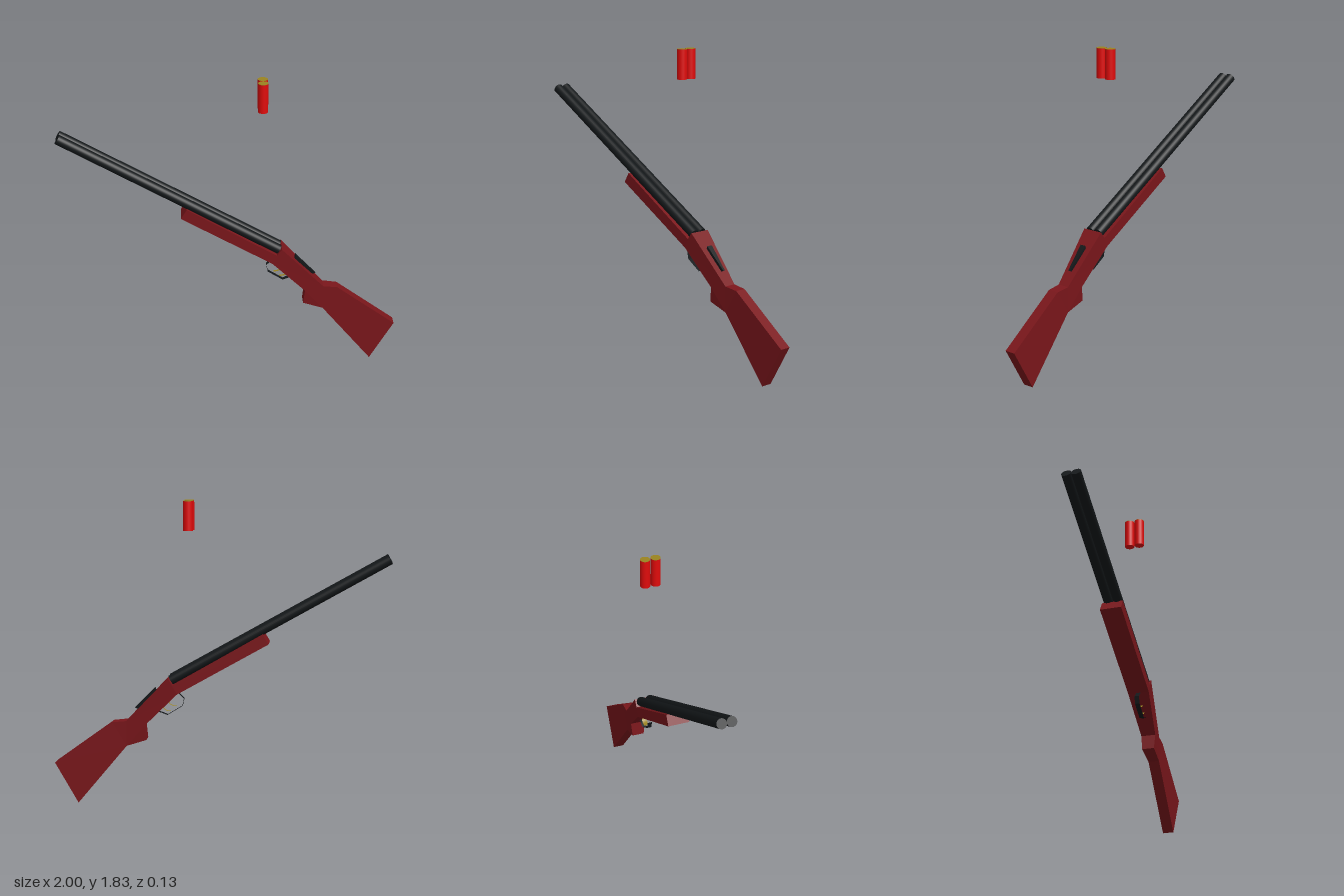
import * as THREE from 'three';

const mat = (color, extra = {}) => new THREE.MeshStandardMaterial({ color, ...extra });

// Prism from a side profile of [x, y, halfWidth] corners, so its thickness can taper
function taperedSlab(corners) {
  const shape = new THREE.Shape(corners.map(([x, y]) => new THREE.Vector2(x, y)));
  const geo = new THREE.ExtrudeGeometry(shape, { depth: 1, bevelEnabled: false });
  const pos = geo.attributes.position;
  for (let i = 0; i < pos.count; i++) {
    const dist = (c) => Math.hypot(c[0] - pos.getX(i), c[1] - pos.getY(i));
    const near = corners.reduce((a, b) => (dist(b) < dist(a) ? b : a));
    pos.setZ(i, pos.getZ(i) > 0.5 ? near[2] : -near[2]);
  }
  geo.computeVertexNormals();
  return geo;
}

// Thin strip of sheet metal following a path in the side plane
function ribbon(points, halfWidth) {
  const verts = [], index = [];
  points.forEach(([x, y], i) => {
    verts.push(x, y, halfWidth, x, y, -halfWidth);
    if (i) index.push(2 * i - 2, 2 * i - 1, 2 * i, 2 * i - 1, 2 * i + 1, 2 * i);
  });
  const geo = new THREE.BufferGeometry();
  geo.setAttribute('position', new THREE.Float32BufferAttribute(verts, 3));
  geo.setIndex(index);
  geo.computeVertexNormals();
  return geo;
}

export function createModel() {
  const group = new THREE.Group();
  const wood = mat(0x7a161b, { flatShading: true });
  const steel = mat(0x14181a);
  const steelSheet = mat(0x14181a, { flatShading: true, side: THREE.DoubleSide });
  const brass = mat(0x9a8420, { side: THREE.DoubleSide });
  const red = mat(0xe00b0b);

  const add = (name, geo, material) => {
    const mesh = new THREE.Mesh(geo, material);
    mesh.name = name;
    group.add(mesh);
    return mesh;
  };

  // Wooden body: fore-end, tapering wrist, pistol grip and butt
  const W = 0.064, N = 0.033;
  const woodParts = {
    foreEnd: [[-0.29, 1.0, W], [0.25, 0.69, W], [0.305, 0.785, W], [0.275, 0.745, W], [-0.255, 1.058, W]],
    wrist: [[0.25, 0.69, W], [0.45, 0.49, 0.044], [0.56, 0.515, 0.036], [0.305, 0.785, W]],
    grip: [[0.45, 0.49, 0.044], [0.44, 0.402, 0.037], [0.56, 0.362, N], [0.56, 0.515, 0.036]],
    butt: [[0.56, 0.362, N], [0.86, 0, N], [1.0, 0.245, N], [0.645, 0.505, N], [0.56, 0.515, 0.036]],
  };
  for (const [name, corners] of Object.entries(woodParts)) add(name, taperedSlab(corners), wood);

  // Twin barrels, side by side
  const muzzle = new THREE.Vector2(-0.985, 1.502), breech = new THREE.Vector2(0.289, 0.771);
  const along = breech.clone().sub(muzzle);
  for (const side of [1, -1]) {
    const barrel = add(side > 0 ? 'leftBarrel' : 'rightBarrel',
      new THREE.CylinderGeometry(0.029, 0.029, along.length(), 24), steel);
    barrel.position.set((muzzle.x + breech.x) / 2, (muzzle.y + breech.y) / 2, side * 0.0285);
    barrel.rotation.z = along.angle() + Math.PI / 2;
  }

  // Opening lever on top of the wrist, narrowing toward the rear
  add('topLever', taperedSlab([
    [0.385, 0.7, 0.018], [0.495, 0.585, 0.006], [0.512, 0.592, 0.006], [0.39, 0.716, 0.018],
  ]), steelSheet);

  // Trigger guard strip
  add('triggerGuard', ribbon([
    [0.25, 0.69], [0.215, 0.655], [0.225, 0.61], [0.315, 0.553], [0.345, 0.565], [0.37, 0.572],
  ], 0.014), steelSheet);

  // Two curved triggers
  const triggers = {
    frontTrigger: [[0.26, 0.607], [0.285, 0.61], [0.303, 0.622], [0.312, 0.642]],
    rearTrigger: [[0.295, 0.576], [0.32, 0.578], [0.338, 0.59], [0.347, 0.61]],
  };
  for (const [name, pts] of Object.entries(triggers)) {
    const curve = new THREE.CatmullRomCurve3(pts.map(([x, y]) => new THREE.Vector3(x, y, 0)));
    add(name, ribbon(curve.getPoints(8).map((p) => [p.x, p.y]), 0.008), brass);
  }

  // Two cartridges hovering above, each with a brass end
  for (const z of [0.03, -0.033]) {
    const shell = add('cartridge', new THREE.CylinderGeometry(0.029, 0.029, 0.172, 24), red);
    shell.position.set(0.184, 1.742, z);
    const cap = add('cartridgeCap', new THREE.CylinderGeometry(0.029, 0.029, 0.002, 24), brass);
    cap.position.set(0.184, 1.829, z);
  }
  return group;
}
